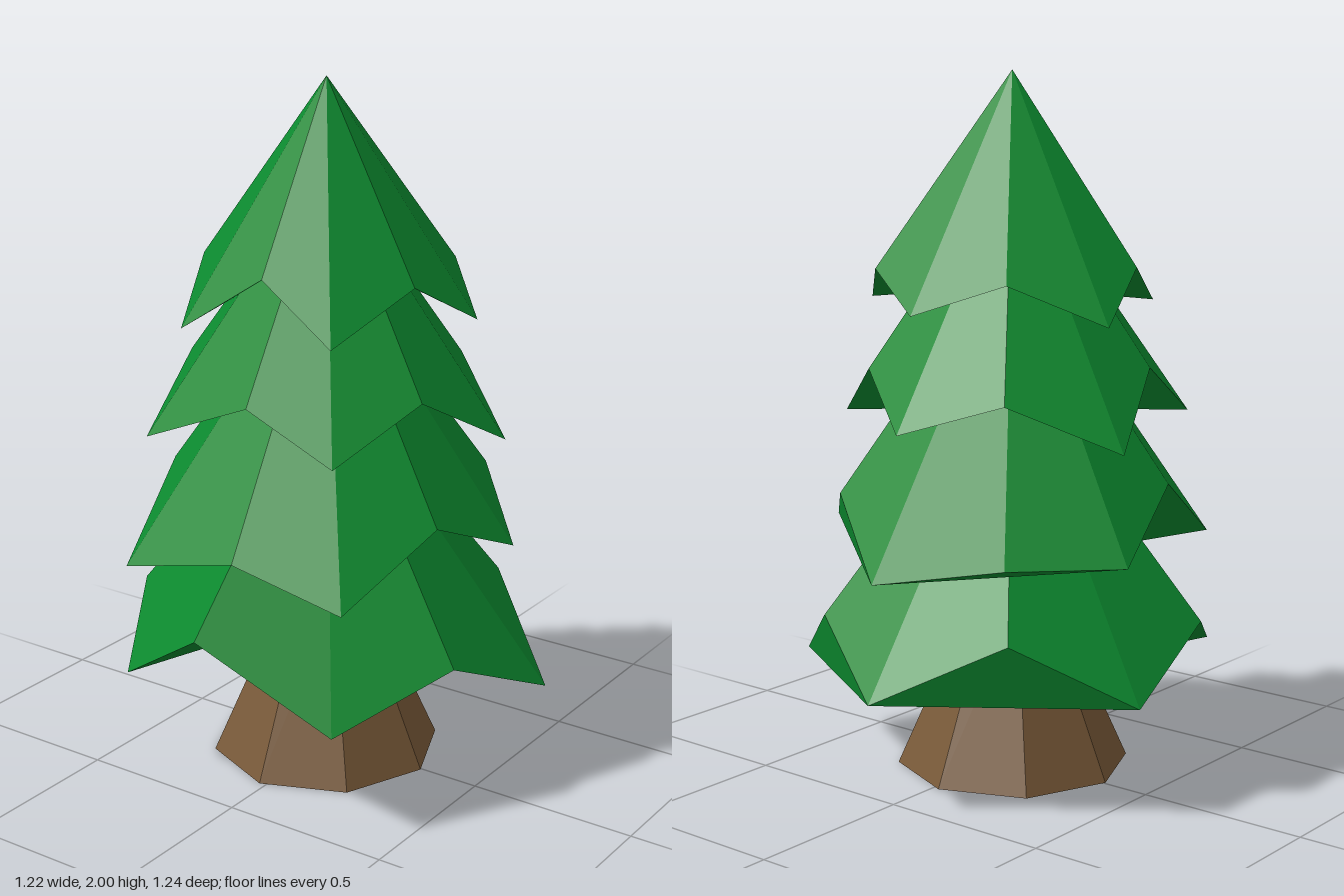
import * as THREE from 'three';

const CENTRE = -0.02;

// Rim points [x, y, z] run from the back tip round by +x; tips (even) and notches (odd) alternate.
// The underside of each tier fans out from the rim point numbered pivot.
const TIERS = [
  { name: 'topFoliage', apex: 2.0, pivot: 9, rim: [
    [-0.02, 1.355, -0.435], [0.2, 1.46, -0.33], [0.395, 1.35, -0.13], [0.33, 1.475, 0.09], [0.24, 1.35, 0.355],
    [0.01, 1.505, 0.345], [-0.24, 1.34, 0.38], [-0.4, 1.47, 0.07], [-0.46, 1.33, -0.14], [-0.24, 1.44, -0.3]] },
  { name: 'upperFoliage', apex: 1.77, pivot: 9, rim: [
    [-0.02, 1.04, -0.495], [0.22, 1.18, -0.34], [0.48, 1.01, -0.155], [0.39, 1.175, 0.14], [0.28, 1.04, 0.405],
    [0.02, 1.17, 0.435], [-0.34, 1.02, 0.42], [-0.42, 1.19, 0.11], [-0.535, 1.0, -0.17], [-0.29, 1.13, -0.37]] },
  { name: 'middleFoliage', apex: 1.52, pivot: 0, rim: [
    [-0.02, 0.65, -0.6], [0.27, 0.83, -0.41], [0.51, 0.695, -0.165], [0.45, 0.83, 0.15], [0.35, 0.66, 0.465],
    [0.04, 0.76, 0.535], [-0.365, 0.65, 0.495], [-0.46, 0.86, 0.15], [-0.555, 0.695, -0.175], [-0.33, 0.7, -0.42]] },
  { name: 'lowerFoliage', apex: 1.18, pivot: 0, rim: [
    [-0.02, 0.32, -0.62], [0.3, 0.48, -0.45], [0.61, 0.27, -0.2], [0.53, 0.445, 0.18], [0.35, 0.32, 0.51],
    [-0.03, 0.545, 0.615], [-0.37, 0.32, 0.5], [-0.55, 0.47, 0.19], [-0.61, 0.32, -0.19], [-0.35, 0.5, -0.43]] },
];

// Closed, jagged cone: slopes fan out from the apex, the underside from one rim point.
function tierGeometry({ apex, pivot, rim }) {
  const points = [...rim, [CENTRE, apex, 0]];
  const index = [];
  for (let i = 0; i < 10; i++) index.push(10, (i + 1) % 10, i);
  for (let i = 1; i < 9; i++) index.push(pivot, (pivot + i) % 10, (pivot + i + 1) % 10);
  const geometry = new THREE.BufferGeometry();
  geometry.setAttribute('position', new THREE.Float32BufferAttribute(points.flat(), 3));
  geometry.setIndex(index);
  const faceted = geometry.toNonIndexed();
  faceted.computeVertexNormals();
  return faceted;
}

export function createModel() {
  const tree = new THREE.Group();
  tree.name = 'pineTree';
  const leaf = new THREE.MeshStandardMaterial({ color: 0x0c8a2f, flatShading: true });
  const bark = new THREE.MeshStandardMaterial({ color: 0x785938, flatShading: true });

  // Flared eight-sided trunk
  const trunk = new THREE.Mesh(new THREE.CylinderGeometry(0.115, 0.337, 0.5, 8), bark);
  trunk.name = 'trunk';
  trunk.position.set(CENTRE, 0.25, 0.005);
  tree.add(trunk);

  // Four overlapping tiers of branches
  for (const tier of TIERS) {
    const mesh = new THREE.Mesh(tierGeometry(tier), leaf);
    mesh.name = tier.name;
    tree.add(mesh);
  }
  return tree;
}
